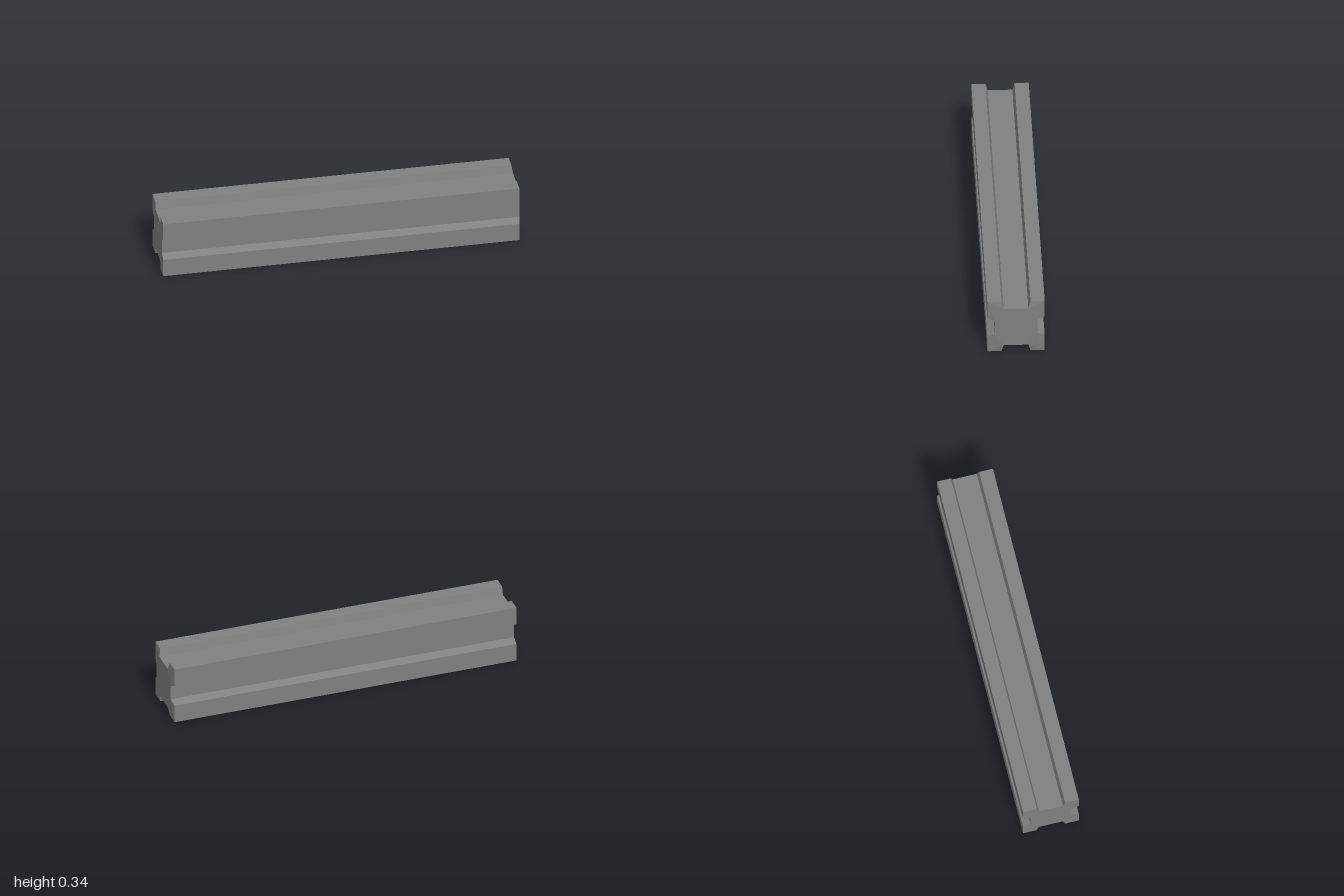
import * as THREE from 'three';

export function createModel() {
  const group = new THREE.Group();
  const gray = new THREE.MeshStandardMaterial({ color: 0x808080 });
  gray.name = 'gray';

  // One quarter of the grooved cross-section (z, y from the centre)
  const quarter = [[0.117, 0.043], [0.158, 0.063], [0.158, 0.169], [0.08, 0.169], [0.068, 0.124]];
  const back = [...quarter].reverse();
  const outline = [
    ...quarter,
    ...back.map(([a, b]) => [-a, b]),
    ...quarter.map(([a, b]) => [-a, -b]),
    ...back.map(([a, b]) => [a, -b]),
  ];
  const shape = new THREE.Shape(outline.map(([a, b]) => new THREE.Vector2(a, b)));

  // Extrude the section along x
  const geometry = new THREE.ExtrudeGeometry(shape, { depth: 2, bevelEnabled: false });
  geometry.translate(0, 0.169, -1);
  geometry.rotateY(Math.PI / 2);

  // The corner ridges stop slightly short of the core at the +x end
  const p = geometry.attributes.position;
  for (let i = 0; i < p.count; i++) {
    const ridge = Math.abs(p.getZ(i)) > 0.15 || Math.abs(p.getY(i) - 0.169) > 0.16;
    if (p.getX(i) > 0.9 && ridge) p.setX(i, 0.992);
  }
  geometry.computeVertexNormals();

  const beam = new THREE.Mesh(geometry, gray);
  beam.name = 'groovedBeam';
  group.add(beam);
  return group;
}
